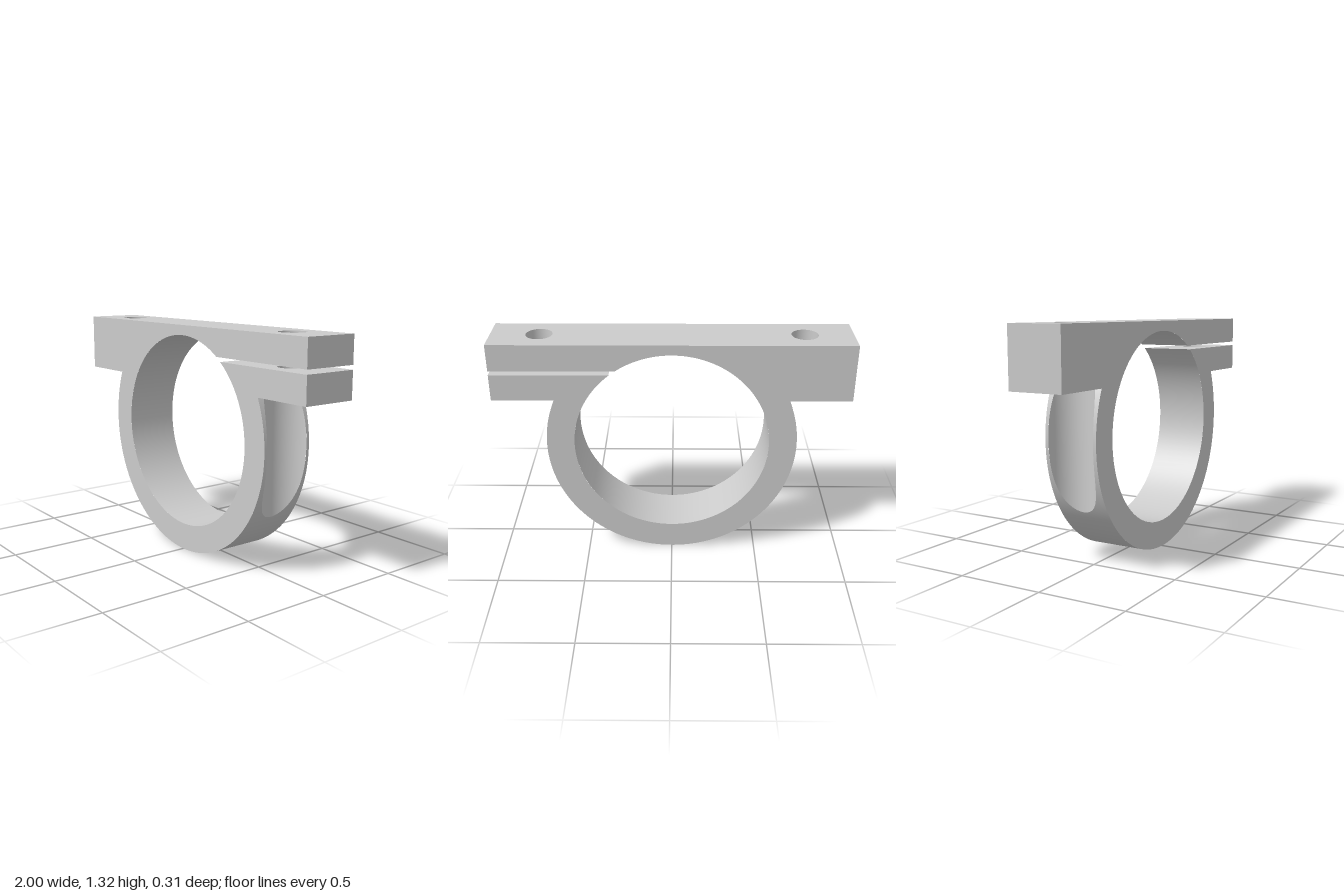
import * as THREE from 'three';
import { ParametricGeometry } from 'three/addons/geometries/ParametricGeometry.js';

const D = 0.157;                            // half depth
const C = 0.71, R = 0.71, RI = 0.553;       // ring centre height, outer and inner radius
const TOP = 1.32, LOW = 0.99;               // lug top and underside
const S0 = 1.143, S1 = 1.167;               // slot floor and ceiling
const BX = 0.73, BR = 0.074, GR = 0.14;     // bolt position, bolt hole and groove radius

const A0 = Math.asin((LOW - C) / R);        // where the ring meets the lug
const A1 = -Math.acos((BX - GR) / R);       // where the groove runs out
const XJ = R * Math.cos(A0);
const B0 = Math.asin((S0 - C) / RI), B1 = Math.asin((S1 - C) / RI);
const grooveHalf = (x) => Math.sqrt(Math.max(0, GR * GR - (BX - x) ** 2));
const lerp = THREE.MathUtils.lerp;

export function createModel() {
  const model = new THREE.Group();
  model.name = 'pipeClamp';
  const mat = new THREE.MeshStandardMaterial({ color: 0xcccccc });

  const add = (parent, name, geo) => {
    const mesh = new THREE.Mesh(geo, mat);
    mesh.name = name;
    parent.add(mesh);
    return mesh;
  };
  const surface = (parent, name, f, nu, nv = 1) =>
    add(parent, name, new ParametricGeometry((u, v, p) => p.set(...f(u, v)), nu, nv));

  // Horizontal face with round bolt holes
  const plate = (parent, name, shape, y, up, holes) => {
    for (const x of holes) {
      const hole = new THREE.Path();
      hole.absarc(x, 0, BR, 0, Math.PI * 2, true);
      shape.holes.push(hole);
    }
    const geo = new THREE.ShapeGeometry(shape, 24);
    geo.rotateX(up ? -Math.PI / 2 : Math.PI / 2).translate(0, y, 0);
    add(parent, name, geo);
  };
  const rect = (x0, x1) => new THREE.Shape([[x0, -D], [x1, -D], [x1, D], [x0, D]]
    .map(([x, y]) => new THREE.Vector2(x, y)));

  // Vertical end of a lug and the wall of a bolt hole
  const lugEnd = (parent, y0, y1) => add(parent, 'lugEnd',
    new THREE.PlaneGeometry(2 * D, y1 - y0).rotateY(Math.PI / 2).translate(1, (y0 + y1) / 2, 0));
  const boltHole = (parent, y0, y1) => surface(parent, 'boltHole', (u, v) => {
    const a = u * Math.PI * 2;
    return [BX + BR * Math.cos(a), lerp(y0, y1, v), BR * Math.sin(a)];
  }, 48);

  // Front and back faces: lugs, ring and slot in one outline
  const outline = new THREE.Shape();
  outline.moveTo(1, S1);
  outline.lineTo(1, TOP);
  outline.lineTo(-1, TOP);
  outline.lineTo(-1, LOW);
  outline.lineTo(-XJ, LOW);
  outline.absarc(0, C, R, Math.PI - A0, 2 * Math.PI + A0, false);
  outline.lineTo(1, LOW);
  outline.lineTo(1, S0);
  outline.lineTo(RI * Math.cos(B0), S0);
  outline.absarc(0, C, RI, B0, B1 - 2 * Math.PI, true);
  outline.closePath();
  add(model, 'frontFace', new THREE.ShapeGeometry(outline, 96).translate(0, 0, D));
  // The back face is the same outline with its triangles reversed
  const back = new THREE.ShapeGeometry(outline, 96).translate(0, 0, -D);
  back.index.array.reverse();
  back.computeVertexNormals();
  add(model, 'backFace', back);

  // Ring bore and the lower outside of the ring
  surface(model, 'ringBore', (u, v) => {
    const a = lerp(B0, B1 - 2 * Math.PI, u);
    return [RI * Math.cos(a), C + RI * Math.sin(a), lerp(-D, D, v)];
  }, 96);
  surface(model, 'ringBottom', (u, v) => {
    const a = lerp(-Math.PI - A1, A1, u);
    return [R * Math.cos(a), C + R * Math.sin(a), lerp(-D, D, v)];
  }, 64);

  // Top bar and slot faces
  plate(model, 'topFace', rect(-1, 1), TOP, true, [-BX, BX]);
  plate(model, 'slotFloor', rect(RI * Math.cos(B0), 1), S0, true, [BX]);
  plate(model, 'slotCeiling', rect(RI * Math.cos(B1), 1), S1, false, [BX]);

  // Each side: lug underside, ring flank and the bolt groove cut in it
  for (const side of ['left', 'right']) {
    const half = new THREE.Group();
    half.name = side + 'Side';
    if (side === 'right') half.rotation.y = Math.PI;
    model.add(half);

    // Slotted lug on the left, solid lug on the right
    const spans = side === 'left' ? [[LOW, S0], [S1, TOP]] : [[LOW, TOP]];
    for (const [y0, y1] of spans) {
      lugEnd(half, y0, y1);
      boltHole(half, y0, y1);
    }

    // Underside reaches into the ring where the groove ends
    const w = grooveHalf(XJ), arc = Math.asin(w / GR);
    const under = new THREE.Shape();
    under.moveTo(XJ, -D);
    under.lineTo(1, -D);
    under.lineTo(1, D);
    under.lineTo(XJ, D);
    under.lineTo(XJ, w);
    under.absarc(BX, 0, GR, Math.PI - arc, Math.PI + arc, false);
    under.closePath();
    plate(half, 'lugUnderside', under, LOW, false, [BX]);

    // Two strips of the ring's outside, in front of and behind the groove
    for (const s of [1, -1]) {
      surface(half, 'ringFlank', (u, v) => {
        const a = lerp(A1, A0, u * (u + 0.05) / 1.05);
        const x = R * Math.cos(a), g = grooveHalf(x);
        return [x, C + R * Math.sin(a), s > 0 ? lerp(g, D, v) : lerp(-D, -g, v)];
      }, 48);
    }

    // Groove wall
    const m = Math.acos((BX - R) / GR) * 0.999;
    surface(half, 'boltGroove', (u, v) => {
      const a = lerp(m, -m, u), x = BX - GR * Math.cos(a);
      const h = Math.sqrt(Math.max(0, R * R - x * x));
      return [x, lerp(C - h, Math.min(LOW, C + h), v), GR * Math.sin(a)];
    }, 64);
  }
  return model;
}
